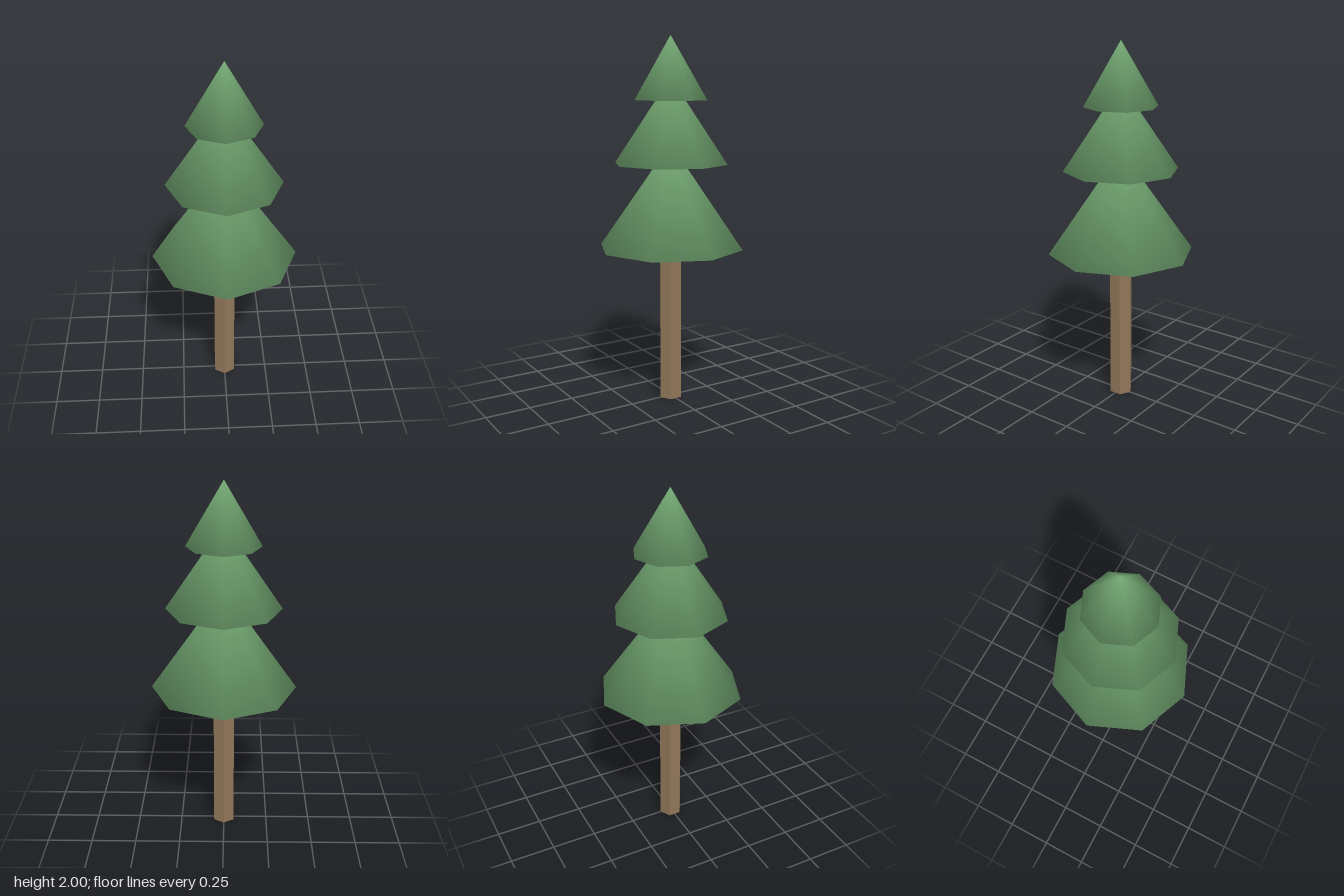
import * as THREE from 'three';

const SIDES = 8;

// Closed cone whose normals blend smoothly over the rim into the underside.
function softCone(radius, height) {
  const apothem = radius * Math.cos(Math.PI / SIDES);
  const halfSide = radius * Math.sin(Math.PI / SIDES);
  const slant = Math.hypot(apothem, height);

  // Rim normal: side and underside normals weighted by their corner angles
  const sideAngle = 2 * Math.atan(slant / halfSide);
  const baseAngle = Math.PI * (1 - 2 / SIDES);
  const out = sideAngle * (height / slant) * Math.cos(Math.PI / SIDES);
  const up = sideAngle * (apothem / slant) - baseAngle;
  const len = Math.hypot(out, up);

  const positions = [0, height, 0];
  const normals = [0, 1, 0];
  const index = [];
  for (let i = 0; i < SIDES; i++) {
    const a = (i / SIDES) * Math.PI * 2;
    const s = Math.sin(a), c = Math.cos(a);
    positions.push(radius * s, 0, radius * c);
    normals.push((out / len) * s, up / len, (out / len) * c);
    index.push(0, i + 1, ((i + 1) % SIDES) + 1);              // sloping side
    if (i > 0 && i < SIDES - 1) index.push(1, i + 2, i + 1);  // underside
  }
  const geometry = new THREE.BufferGeometry();
  geometry.setAttribute('position', new THREE.Float32BufferAttribute(positions, 3));
  geometry.setAttribute('normal', new THREE.Float32BufferAttribute(normals, 3));
  geometry.setIndex(index);
  return geometry;
}

export function createModel() {
  const tree = new THREE.Group();
  tree.name = 'pineTree';

  const bark = new THREE.MeshStandardMaterial({ color: 0x8f7558, flatShading: true });
  const needles = new THREE.MeshStandardMaterial({ color: 0x73a873 });

  // Six-sided trunk, its top just inside the lowest tier
  const trunkHeight = 0.88;
  const trunk = new THREE.Mesh(new THREE.CylinderGeometry(0.066, 0.066, trunkHeight, 6), bark);
  trunk.name = 'trunk';
  trunk.position.y = trunkHeight / 2;
  tree.add(trunk);

  // Three overlapping tiers of foliage
  const tiers = [
    { name: 'lowerFoliage', radius: 0.4, base: 0.86, tip: 1.43 },
    { name: 'middleFoliage', radius: 0.313, base: 1.32, tip: 1.78 },
    { name: 'upperFoliage', radius: 0.2, base: 1.66, tip: 2 },
  ];
  for (const { name, radius, base, tip } of tiers) {
    const tier = new THREE.Mesh(softCone(radius, tip - base), needles);
    tier.name = name;
    tier.position.y = base;
    tree.add(tier);
  }
  return tree;
}
